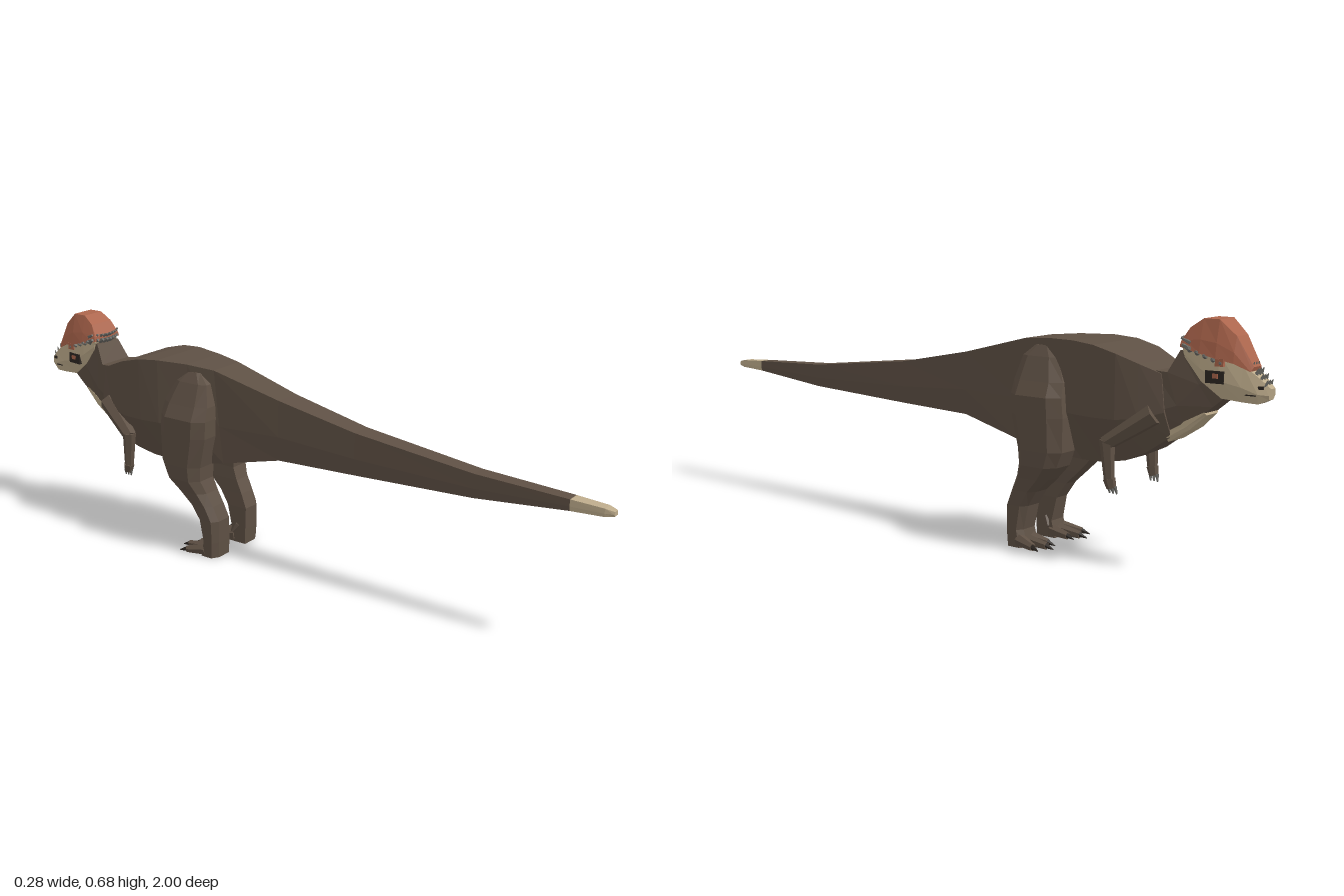
import * as THREE from 'three';

const mat = (name, color) => {
  const m = new THREE.MeshStandardMaterial({ color });
  m.name = name;
  return m;
};

// Flat-faced skin through closed rings of points, capped at both ends
function loft(rings) {
  const n = rings[0].length, tris = [];
  for (let i = 0; i < rings.length - 1; i++) {
    for (let j = 0; j < n; j++) {
      const k = (j + 1) % n, a = rings[i], b = rings[i + 1];
      tris.push([a[j], a[k], b[k]], [a[j], b[k], b[j]]);
    }
  }
  const last = rings[rings.length - 1];
  for (let j = 1; j < n - 1; j++) {
    tris.push([rings[0][0], rings[0][j + 1], rings[0][j]], [last[0], last[j], last[j + 1]]);
  }
  // turn the faces outward if the enclosed volume comes out negative
  const v = p => new THREE.Vector3(...p);
  let volume = 0;
  for (const [a, b, c] of tris) volume += v(a).dot(v(b).cross(v(c)));
  if (volume < 0) tris.forEach(t => t.reverse());
  const g = new THREE.BufferGeometry();
  g.setAttribute('position', new THREE.Float32BufferAttribute(tris.flat(2), 3));
  g.computeVertexNormals();
  return g;
}

// Six-sided mirrored section: [zTop, yTop, zBottom, yBottom, halfTop, halfMid, halfBottom]
const section = ([zt, yt, zb, yb, wt, wm, wb]) => {
  const zm = zt * 0.4 + zb * 0.6, ym = yt * 0.4 + yb * 0.6;
  return [[wt, yt, zt], [wm, ym, zm], [wb, yb, zb], [-wb, yb, zb], [-wm, ym, zm], [-wt, yt, zt]];
};

// Upright section with a bevelled outer side: [y, zBack, zFront, xIn, xOut]
const legSection = ([y, zb, zf, xi, xo]) => {
  const d = (zb - zf) * 0.2, b = (xo - xi) * 0.3;
  return [[xi, y, zb], [xo - b, y, zb], [xo, y, zb - d], [xo, y, zf + d], [xo - b, y, zf], [xi, y, zf]];
};

export function createModel() {
  const hide = mat('brown hide', 0x5e5044);
  const cream = mat('cream', 0xbdab8b);
  const orange = mat('rust dome', 0xac654c);
  const grey = mat('grey horn', 0x6c6b66);
  const dark = mat('dark', 0x2c2621);

  const root = new THREE.Group();
  root.name = 'domeHeadedDinosaur';
  const add = (name, geometry, material, parent = root) => {
    const m = new THREE.Mesh(geometry, material);
    m.name = name;
    parent.add(m);
    return m;
  };
  // Tapered limb segment between two points
  const beam = (name, a, b, ra, rb, material, parent = root, sides = 6) => {
    const p = new THREE.Vector3(...a), q = new THREE.Vector3(...b), dir = q.clone().sub(p);
    const g = new THREE.CylinderGeometry(rb, ra, dir.length(), sides).toNonIndexed();
    g.computeVertexNormals();
    const m = add(name, g, material, parent);
    m.position.copy(p).add(q).multiplyScalar(0.5);
    m.quaternion.setFromUnitVectors(new THREE.Vector3(0, 1, 0), dir.normalize());
    return m;
  };

  // Tail tip, then tail and torso
  add('tailTip', loft([
    [1.0, 0.413, 1.0, 0.4, 0.009, 0.011, 0.009],
    [0.975, 0.419, 0.975, 0.396, 0.016, 0.017, 0.016],
    [0.88, 0.424, 0.88, 0.392, 0.02, 0.021, 0.02],
  ].map(section)), cream);
  add('body', loft([
    [0.88, 0.424, 0.88, 0.392, 0.02, 0.021, 0.02],
    [0.6, 0.436, 0.6, 0.366, 0.025, 0.027, 0.025],
    [0.22, 0.479, 0.22, 0.352, 0.033, 0.037, 0.033],
    [-0.04, 0.53, -0.04, 0.346, 0.043, 0.048, 0.044],
    [-0.27, 0.588, -0.24, 0.3, 0.06, 0.062, 0.06],
    [-0.36, 0.596, -0.36, 0.275, 0.078, 0.078, 0.056],
    [-0.46, 0.598, -0.46, 0.267, 0.1, 0.102, 0.05],
    [-0.53, 0.592, -0.53, 0.269, 0.108, 0.108, 0.05],
    [-0.6, 0.574, -0.6, 0.282, 0.106, 0.106, 0.05],
    [-0.66, 0.55, -0.665, 0.312, 0.086, 0.09, 0.05],
    [-0.715, 0.527, -0.735, 0.36, 0.064, 0.066, 0.042],
  ].map(section)), hide);

  // Neck and pale throat
  add('neck', loft([
    [-0.69, 0.535, -0.71, 0.355, 0.066, 0.068, 0.042],
    [-0.73, 0.532, -0.775, 0.39, 0.06, 0.055, 0.036],
    [-0.76, 0.59, -0.85, 0.45, 0.048, 0.045, 0.032],
    [-0.8, 0.6, -0.88, 0.475, 0.04, 0.04, 0.03],
  ].map(section)), hide);
  add('throat', loft([
    [-0.72, 0.375, -0.725, 0.346, 0.045, 0.046, 0.038],
    [-0.77, 0.405, -0.785, 0.384, 0.041, 0.04, 0.034],
    [-0.825, 0.44, -0.83, 0.426, 0.034, 0.034, 0.028],
  ].map(section)), cream);

  // Head
  const head = new THREE.Group();
  head.name = 'head';
  root.add(head);
  add('face', loft([
    [-0.765, 0.61, -0.775, 0.565, 0.05, 0.05, 0.045],
    [-0.82, 0.6, -0.82, 0.515, 0.05, 0.053, 0.044],
    [-0.87, 0.59, -0.875, 0.475, 0.046, 0.05, 0.036],
    [-0.93, 0.565, -0.93, 0.47, 0.03, 0.038, 0.028],
    [-0.975, 0.53, -0.97, 0.468, 0.018, 0.028, 0.022],
    [-1.0, 0.508, -0.995, 0.48, 0.011, 0.017, 0.012],
  ].map(section)), cream, head);
  add('dome', loft([
    [-0.763, 0.615, -0.763, 0.6, 0.05, 0.055, 0.055],
    [-0.785, 0.65, -0.775, 0.597, 0.043, 0.052, 0.057],
    [-0.82, 0.675, -0.82, 0.587, 0.037, 0.052, 0.058],
    [-0.865, 0.675, -0.865, 0.577, 0.036, 0.05, 0.055],
    [-0.91, 0.635, -0.91, 0.567, 0.028, 0.041, 0.044],
    [-0.955, 0.56, -0.95, 0.548, 0.019, 0.024, 0.027],
  ].map(section)), orange, head);
  add('mouthLine', new THREE.BoxGeometry(0.064, 0.003, 0.045), dark, head).position.set(0, 0.49, -0.945);

  // Knobs around the back of the skull
  for (let i = 0; i < 9; i++) {
    const t = (i / 8 - 0.5) * 2, x = t * 0.052, z = -0.758 - t * t * 0.025;
    for (const [dy, r] of [[0, 0.009], [0.016, 0.006]]) {
      beam('skullKnob', [x, 0.596 + dy, z - 0.008], [x * 1.12, 0.606 + dy, z + 0.013], r, r * 0.5, grey, head, 5);
    }
  }
  // Nose studs
  for (let i = 0; i < 4; i++) {
    for (const x of [-0.013, 0, 0.013]) {
      const z = -0.945 - i * 0.013, y = 0.562 - i * 0.014;
      beam('noseStud', [x, y - 0.008, z], [x, y + 0.01, z - 0.008], 0.006, 0.001, grey, head, 4);
    }
  }

  for (const s of [1, -1]) {
    const side = s > 0 ? 'left' : 'right';
    // Eye, cheek patch, nostril and brow knobs
    const eye = add(side + 'Eye', new THREE.BoxGeometry(0.009, 0.032, 0.05), dark, head);
    eye.position.set(s * 0.048, 0.53, -0.862);
    eye.rotation.y = s * 0.1;
    add(side + 'Iris', new THREE.BoxGeometry(0.004, 0.012, 0.016), orange, head).position.set(s * 0.052, 0.533, -0.865);
    const patch = add(side + 'BrowPatch', new THREE.BoxGeometry(0.009, 0.02, 0.024), orange, head);
    patch.position.set(s * 0.048, 0.568, -0.875);
    add(side + 'Nostril', new THREE.BoxGeometry(0.006, 0.008, 0.014), dark, head).position.set(s * 0.022, 0.51, -0.977);
    for (let i = 0; i < 5; i++) {
      const z = -0.79 - i * 0.022, y = 0.594 - i * 0.008, x = 0.054 - i * 0.003;
      beam('browKnob', [s * (x - 0.006), y, z], [s * (x + 0.012), y + 0.005, z], 0.009, 0.004, grey, head, 5);
    }

    // Leg from thigh to heel
    const leg = new THREE.Group();
    leg.name = side + 'Leg';
    root.add(leg);
    const mirror = ring => ring.map(([x, y, z]) => [x * s, y, z]);
    add('leg', loft([
      [0.575, -0.315, -0.365, 0.055, 0.076],
      [0.545, -0.28, -0.4, 0.055, 0.094],
      [0.48, -0.265, -0.43, 0.055, 0.122],
      [0.44, -0.263, -0.435, 0.055, 0.141],
      [0.385, -0.265, -0.44, 0.053, 0.142],
      [0.29, -0.287, -0.438, 0.05, 0.141],
      [0.245, -0.29, -0.418, 0.05, 0.138],
      [0.205, -0.275, -0.38, 0.047, 0.124],
      [0.165, -0.255, -0.338, 0.045, 0.117],
      [0.12, -0.236, -0.308, 0.042, 0.114],
      [0.05, -0.238, -0.292, 0.04, 0.113],
      [0, -0.24, -0.305, 0.04, 0.112],
    ].map(legSection).map(mirror)), hide, leg);
    // Toes and claws
    for (const [x0, x1, z1] of [[0.052, 0.047, -0.345], [0.077, 0.08, -0.365], [0.1, 0.118, -0.345]]) {
      beam('toe', [s * x0, 0.02, -0.285], [s * x1, 0.012, z1], 0.019, 0.011, hide, leg);
      beam('claw', [s * x1, 0.014, z1 + 0.004], [s * (x1 + (x1 - x0) * 0.4), 0.006, z1 - 0.024], 0.009, 0.001, dark, leg, 5);
    }
    beam('innerToe', [s * 0.045, 0.06, -0.27], [s * 0.034, 0.034, -0.285], 0.01, 0.004, hide, leg, 5);

    // Small arm, bent at the elbow
    const arm = new THREE.Group();
    arm.name = side + 'Arm';
    root.add(arm);
    beam('upperArm', [s * 0.07, 0.42, -0.7], [s * 0.108, 0.333, -0.575], 0.03, 0.021, hide, arm);
    beam('forearm', [s * 0.108, 0.345, -0.58], [s * 0.106, 0.235, -0.588], 0.021, 0.014, hide, arm);
    beam('hand', [s * 0.106, 0.24, -0.588], [s * 0.104, 0.215, -0.594], 0.017, 0.013, hide, arm);
    for (const dz of [-0.011, 0, 0.011]) {
      beam('fingerClaw', [s * 0.104, 0.22, -0.594 + dz], [s * 0.1, 0.2, -0.598 + dz], 0.006, 0.002, grey, arm, 5);
    }
  }
  return root;
}
